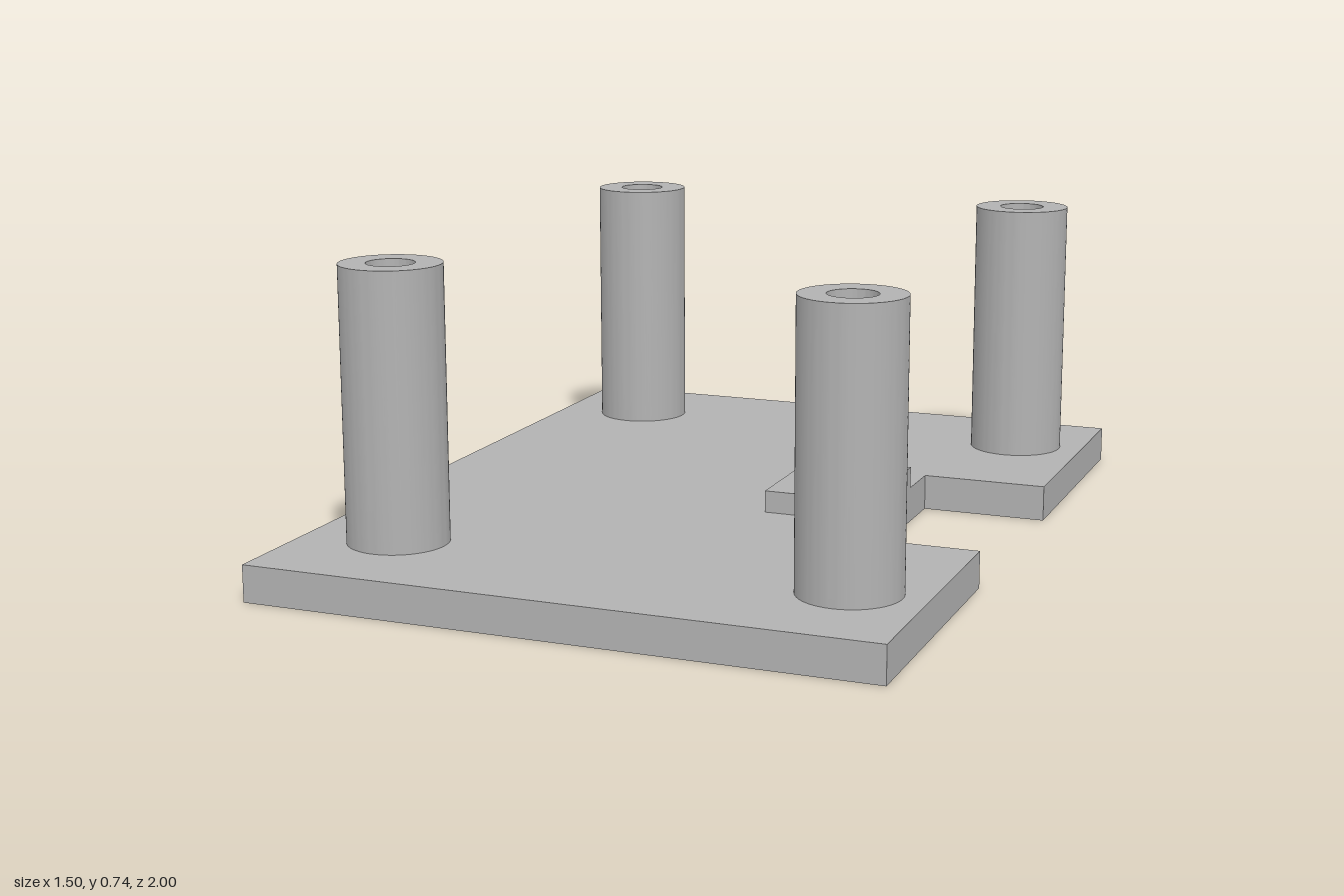
import * as THREE from 'three';
import { toCreasedNormals } from 'three/addons/utils/BufferGeometryUtils.js';

const PLATE_TOP = 0.088;
const POST_TOP = 0.737;

// Extrude a plan outline (x, -z) straight up from y = 0
function extrudeUp(shape, height) {
  const geometry = new THREE.ExtrudeGeometry(shape, { depth: height, bevelEnabled: false, curveSegments: 48 });
  geometry.rotateX(-Math.PI / 2);
  return toCreasedNormals(geometry, 0.6);
}

export function createModel() {
  const model = new THREE.Group();
  model.name = 'mountingPlate';
  const grey = new THREE.MeshStandardMaterial({ color: 0xb2b2b2 });
  grey.name = 'grey';

  const add = (name, geometry, x, y, z) => {
    const mesh = new THREE.Mesh(geometry, grey);
    mesh.name = name;
    mesh.position.set(x, y, z);
    model.add(mesh);
  };

  // Base plate with a rectangular notch in its left edge
  const outline = new THREE.Shape([
    [-0.75, -1], [0.75, -1], [0.75, -0.295], [0.44, -0.295],
    [0.44, 0.317], [0.75, 0.317], [0.75, 1], [-0.75, 1],
  ].map(([x, y]) => new THREE.Vector2(x, y)));
  add('basePlate', extrudeUp(outline, PLATE_TOP), 0, 0, 0);

  // Raised pad beside the notch
  add('raisedPad', new THREE.BoxGeometry(0.26, 0.053, 0.35), 0.31, PLATE_TOP + 0.0265, -0.012);

  // Four hollow standoff posts
  const ring = new THREE.Shape().absarc(0, 0, 0.119, 0, Math.PI * 2, false);
  ring.holes.push(new THREE.Path().absarc(0, 0, 0.056, 0, Math.PI * 2, true));
  const post = extrudeUp(ring, POST_TOP - PLATE_TOP);
  for (const [side, x] of [['Right', -0.52], ['Left', 0.573]]) {
    for (const [end, z] of [['back', -0.723], ['front', 0.703]]) {
      add(`${end}${side}Post`, post, x, PLATE_TOP, z);
    }
  }

  return model;
}
